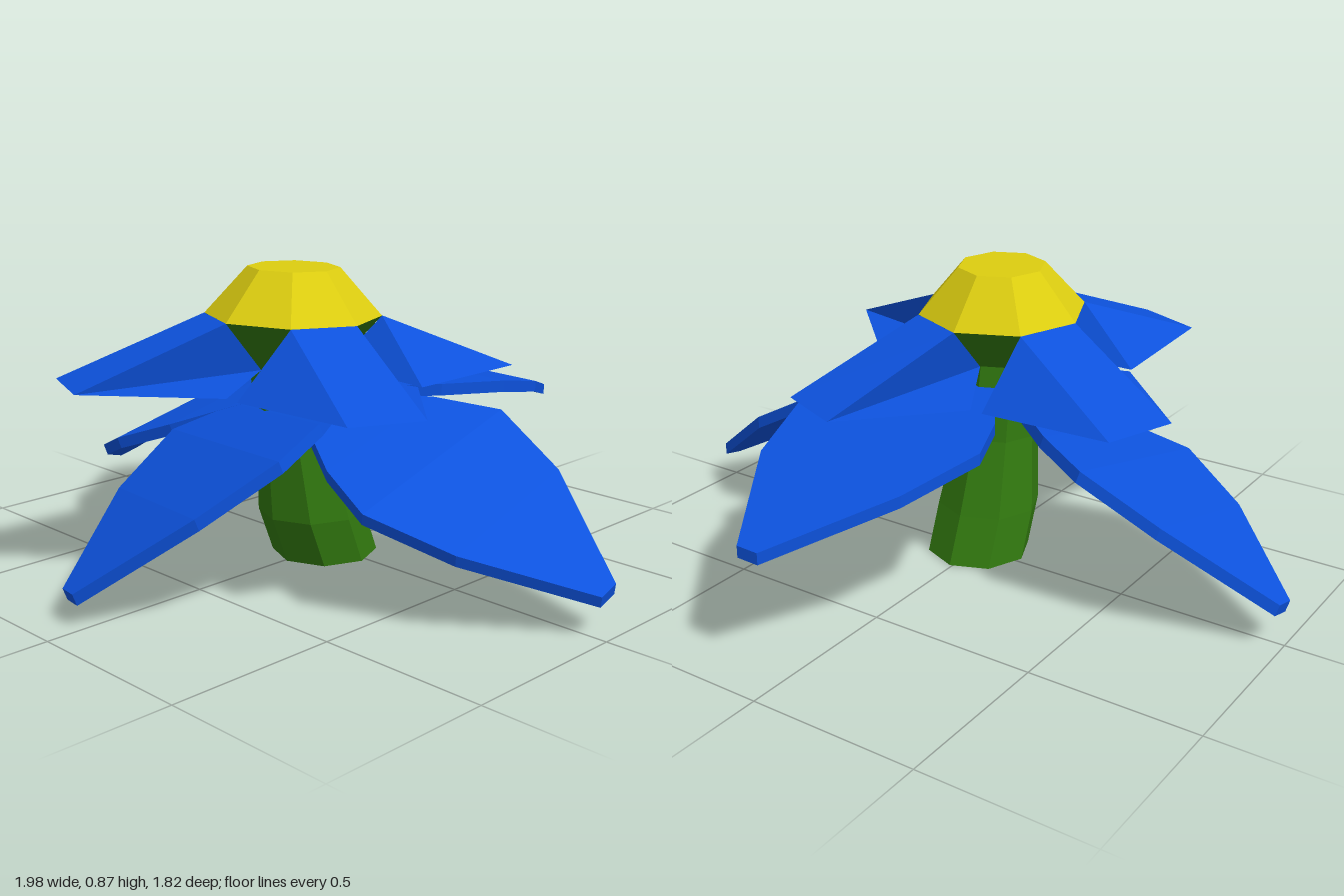
import * as THREE from 'three';

const paint = (color) => new THREE.MeshStandardMaterial({ color, flatShading: true });
const BLUE = paint(0x0d52dd);
const YELLOW = paint(0xdccd10);
const GREEN = paint(0x31780f);

function mesh(name, geometry, material) {
  const m = new THREE.Mesh(geometry, material);
  m.name = name;
  return m;
}

// Flat-shaded geometry from polygons, each a list of [x, y, z] corners
function fromPolygons(polygons) {
  const pos = [];
  for (const p of polygons)
    for (let i = 1; i < p.length - 1; i++) pos.push(...p[0], ...p[i], ...p[i + 1]);
  const g = new THREE.BufferGeometry();
  g.setAttribute('position', new THREE.Float32BufferAttribute(pos, 3));
  g.computeVertexNormals();
  return g;
}

// Skin of cross-sections, closed at both ends
function loft(sections) {
  const polygons = [sections[0], [...sections[sections.length - 1]].reverse()];
  for (let i = 0; i < sections.length - 1; i++) {
    const a = sections[i], b = sections[i + 1], n = a.length;
    for (let j = 0; j < n; j++) polygons.push([a[j], b[j], b[(j + 1) % n], a[(j + 1) % n]]);
  }
  return fromPolygons(polygons);
}

// Bent eight-sided stem: rows of height, z of the centre, radius
function stemGeometry() {
  const rows = [[0, 0.02, 0.155], [0.14, 0.075, 0.155], [0.36, 0.12, 0.125], [0.59, 0.15, 0.12]];
  return loft(rows.map(([y, z, r]) => Array.from({ length: 8 }, (_, k) => {
    const a = -k * Math.PI / 4;
    return [0.008 + r * Math.sin(a), y, z - r * Math.cos(a)];
  }).reverse()));
}

// Thin drooping petal growing along +z: rows of distance, height, half width
function lowerPetalGeometry() {
  const t = 0.017;
  const rows = [[0, 0, 0.08], [0.22, 0, 0.24], [0.4, -0.005, 0.32], [0.64, -0.058, 0.245], [0.95, -0.155, 0.035]];
  return loft(rows.map(([z, y, w]) => [[-w, y + t, z], [w, y + t, z], [w, y - t, z], [-w, y - t, z]]));
}

// Wedge petal pulled out of one facet of the cup
function upperPetalGeometry() {
  const p0 = [0, 0.17, -0.25], p1 = [0.177, 0.17, -0.177];
  const l0 = [0, 0.025, -0.12], l1 = [0.085, 0.025, -0.085];
  const o0 = [0.15, 0.005, -0.64], o1 = [0.35, 0.005, -0.56];
  const s0 = [-0.13, 0.002, -0.36], s1 = [0.35, -0.005, -0.16];
  return fromPolygons([
    [p0, p1, o1, o0],
    [p0, o0, l0], [l0, o0, s0],
    [o1, p1, s1], [p1, l1, s1],
    [o0, o1, s1, s0],
    [s0, s1, l1, l0],
  ]);
}

export function createModel() {
  const model = new THREE.Group();
  model.name = 'flower';
  model.add(mesh('stem', stemGeometry(), GREEN));

  // Lower ring of petals: base point, then yaw, pitch and roll in degrees
  const lower = lowerPetalGeometry();
  const placements = [
    ['backLowerPetal', [0.045, 0.505, 0.04], 178, 0, 0],
    ['frontLowerPetal', [0.11, 0.53, 0.06], -12, 19, 6],
    ['leftLowerPetal', [0.1, 0.47, 0.13], 98, 13, 14],
    ['rightLowerPetal', [-0.1, 0.47, 0.115], -95, 13, -14],
  ];
  for (const [name, base, yaw, pitch, roll] of placements) {
    const petal = mesh(name, lower, BLUE);
    const rad = THREE.MathUtils.degToRad;
    petal.position.set(...base);
    petal.rotation.set(rad(pitch), rad(yaw), rad(roll), 'YXZ');
    model.add(petal);
  }

  // Head: green cup, yellow centre and upper ring of petals
  const head = new THREE.Group();
  head.name = 'head';
  head.position.set(0.01, 0.56, 0.15);
  head.rotation.x = -0.025;
  const cup = mesh('cup', new THREE.CylinderGeometry(0.25, 0.12, 0.145, 8), GREEN);
  cup.position.y = 0.0975;
  const centre = mesh('centre', new THREE.CylinderGeometry(0.13, 0.25, 0.135, 8), YELLOW);
  centre.position.y = 0.2375;
  head.add(cup, centre);
  const upper = upperPetalGeometry();
  for (let i = 0; i < 4; i++) {
    const petal = mesh('upperPetal', upper, BLUE);
    petal.rotation.y = i * Math.PI / 2;
    head.add(petal);
  }
  model.add(head);
  return model;
}
